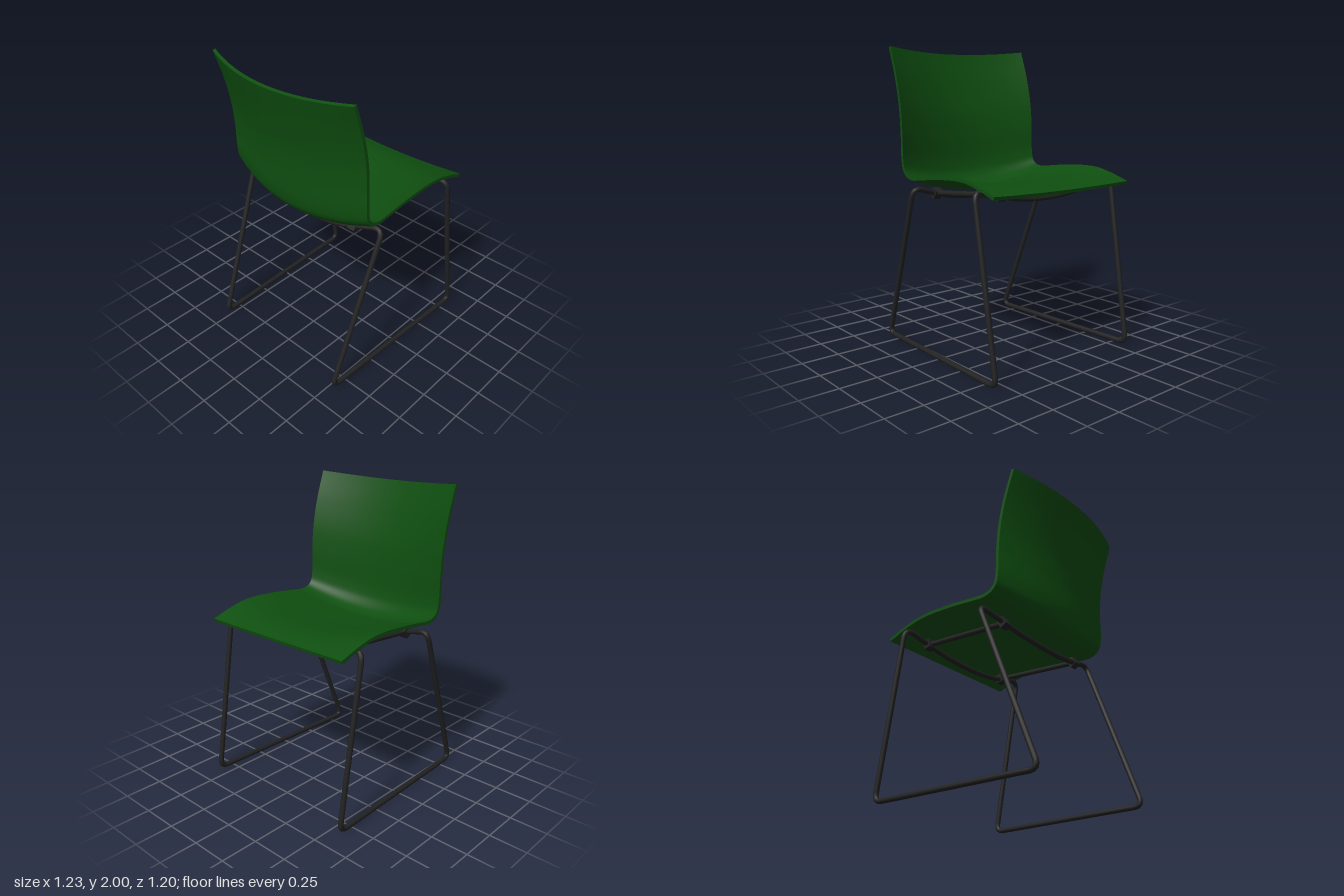
import * as THREE from 'three';
import { mergeGeometries } from 'three/addons/utils/BufferGeometryUtils.js';
import { ParametricGeometry } from 'three/addons/geometries/ParametricGeometry.js';

const HALF_WIDTH = 0.57, THICKNESS = 0.022, TUBE = 0.0175;
const V = (x, y, z = 0) => new THREE.Vector3(x, y, z);
const profile = (pts) => new THREE.CatmullRomCurve3(pts.map(([x, y]) => V(x, y)));

// Shell profiles from the top of the back to the front lip
const centre = profile([
  [-0.585, 1.965], [-0.525, 1.75], [-0.48, 1.55], [-0.463, 1.4], [-0.45, 1.2], [-0.43, 1.125], [-0.38, 1.07],
  [-0.3, 1.045], [-0.2, 1.055], [0, 1.08], [0.2, 1.11], [0.35, 1.125], [0.45, 1.12], [0.56, 1.097],
]);
const edge = profile([
  [-0.475, 1.995], [-0.41, 1.8], [-0.37, 1.62], [-0.354, 1.45], [-0.35, 1.27], [-0.335, 1.2], [-0.3, 1.165],
  [-0.24, 1.15], [-0.15, 1.158], [0, 1.175], [0.2, 1.188], [0.33, 1.182], [0.45, 1.155], [0.585, 1.112],
]);

// Point on the shell: s across (0..1), t along the profile, side from -1 (under) to 1 (upper)
function shellPoint(s, t, side, target) {
  const k = s * 2 - 1;
  const at = (q) => centre.getPoint(q).lerp(edge.getPoint(q), k * k);
  const p = at(t);
  const d = at(Math.min(1, t + 0.004)).sub(at(Math.max(0, t - 0.004))).normalize();
  const h = side * THICKNESS / 2;
  target.set(p.x - d.y * h, p.y + d.x * h, k * HALF_WIDTH);
}

function shellGeometry() {
  const across = 28, along = 90;
  const face = (fn, a, b) => new ParametricGeometry(fn, a, b);
  return mergeGeometries([
    face((u, v, o) => shellPoint(u, v, 1, o), across, along),
    face((u, v, o) => shellPoint(1 - u, v, -1, o), across, along),
    // side rims
    face((u, v, o) => shellPoint(1, u, v * 2 - 1, o), along, 1),
    face((u, v, o) => shellPoint(0, 1 - u, v * 2 - 1, o), along, 1),
    // front lip and top of the back
    face((u, v, o) => shellPoint(v, 1, u * 2 - 1, o), 1, across),
    face((u, v, o) => shellPoint(1 - v, 0, u * 2 - 1, o), 1, across),
  ]);
}

// Closed path through corners [point, trim], each corner rounded off
function roundedLoop(corners) {
  const path = new THREE.CurvePath();
  const n = corners.length;
  const cut = (i, j) => {
    const [p, trim] = corners[i];
    return corners[j][0].clone().sub(p).setLength(trim).add(p);
  };
  for (let i = 0; i < n; i++) {
    const prev = (i + n - 1) % n, next = (i + 1) % n;
    path.add(new THREE.QuadraticBezierCurve3(cut(i, prev), corners[i][0], cut(i, next)));
    path.add(new THREE.LineCurve3(cut(i, next), cut(next, i)));
  }
  return path;
}

export function createModel() {
  const group = new THREE.Group();
  const green = new THREE.MeshStandardMaterial({ color: 0x0f4f10 });
  const black = new THREE.MeshStandardMaterial({ color: 0x222222 });
  const add = (name, geometry, material) => {
    const mesh = new THREE.Mesh(geometry, material);
    mesh.name = name;
    group.add(mesh);
    return mesh;
  };

  add('seatShell', shellGeometry(), green);

  // Sled frame: one bent tube forming both sides and both sagging cross bars
  const half = [
    [V(-0.285, 0.99, 0.2), 0.19],
    [V(-0.215, 1.095, 0.578), 0.075],
    [V(-0.612, TUBE, 0.53), 0.06],
    [V(0.606, TUBE, 0.573), 0.06],
    [V(0.425, 1.145, 0.583), 0.075],
    [V(0.393, 1.045, 0.19), 0.18],
  ];
  const mirrored = half.map(([p, r]) => [V(p.x, p.y, -p.z), r]).reverse();
  const loop = roundedLoop([...half, ...mirrored]);
  add('sledFrame', new THREE.TubeGeometry(loop, 500, TUBE, 12, true), black);

  // Rails under the seat with a clamp at each end
  for (const side of [1, -1]) {
    const name = side > 0 ? 'left' : 'right';
    const back = V(-0.245, 1.04, side * 0.375), front = V(0.408, 1.095, side * 0.375);
    add(name + 'Rail', new THREE.TubeGeometry(new THREE.LineCurve3(back, front), 1, TUBE, 12), black);
    for (const [end, p, tilt] of [['Back', back, -0.55], ['Front', front, -0.25]]) {
      const clamp = add(name + end + 'Clamp', new THREE.BoxGeometry(0.05, 0.065, 0.055), black);
      clamp.position.copy(p);
      clamp.rotation.z = tilt;
    }
  }
  return group;
}
